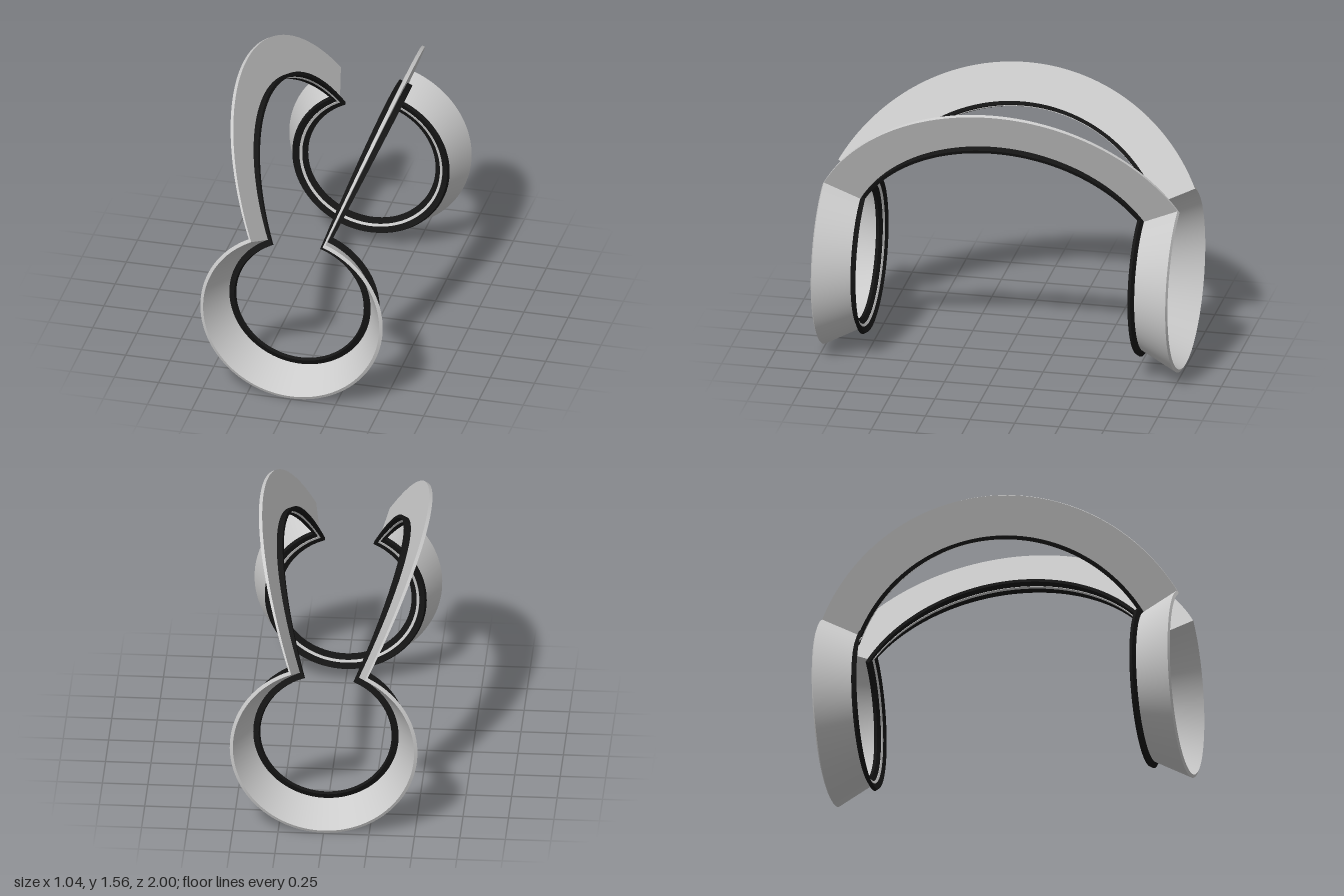
import * as THREE from 'three';

// A continuous headband-like loop lying on a sphere: two open end rings
// joined by two arched arms. Each run is drawn in longitude / polar angle.
const CENTRE_Y = 0.515;
const POLAR = 0.471;                               // end rings, angle from the z axis
const LON_LEFT = THREE.MathUtils.degToRad(21.4);   // arm on +x, angle from straight up
const LON_RIGHT = THREE.MathUtils.degToRad(332.5); // arm on -x

function onSphere(lon, polar, r) {
  return [
    r * Math.sin(polar) * Math.sin(lon),
    CENTRE_Y + r * Math.sin(polar) * Math.cos(lon),
    r * Math.cos(polar),
  ];
}

// Corners of the loop, pushed outwards by the angle k (gives mitred joints)
function loopCorners(k) {
  return [
    [LON_LEFT - k, POLAR - k],
    [LON_RIGHT + k, POLAR - k],
    [LON_RIGHT + k, Math.PI - POLAR + k],
    [LON_LEFT - k, Math.PI - POLAR + k],
  ];
}

// One run of the loop with a four-sided section; every face has its own
// vertices so the curves are smooth and the edges sharp.
function runGeometry(side, rInner, rOuter, k, segments) {
  const section = [[rInner, -k], [rOuter, -k], [rOuter, k], [rInner, k]];
  const positions = [];
  const index = [];
  const pointAt = ([r, offset], t) => {
    const corners = loopCorners(offset);
    const a = corners[side];
    const b = corners[(side + 1) % 4];
    return onSphere(a[0] + (b[0] - a[0]) * t, a[1] + (b[1] - a[1]) * t, r);
  };
  for (let f = 0; f < 4; f++) {
    const base = positions.length / 3;
    for (let i = 0; i <= segments; i++) {
      const t = i / segments;
      positions.push(...pointAt(section[f], t), ...pointAt(section[(f + 1) % 4], t));
      if (i < segments) {
        const a = base + i * 2;
        index.push(a, a + 1, a + 3, a, a + 3, a + 2);
      }
    }
  }
  const geometry = new THREE.BufferGeometry();
  geometry.setAttribute('position', new THREE.Float32BufferAttribute(positions, 3));
  geometry.setIndex(index);
  geometry.computeVertexNormals();
  return geometry;
}

export function createModel() {
  const model = new THREE.Group();
  model.name = 'archedLoop';
  const grey = new THREE.MeshStandardMaterial({ color: 0xcccccc });
  const black = new THREE.MeshStandardMaterial({ color: 0x151515 });

  const runs = ['frontRing', 'rightArm', 'backRing', 'leftArm'];
  runs.forEach((name, side) => {
    const segments = side % 2 ? 72 : 112;
    const run = new THREE.Group();
    run.name = name;

    // Thin upright blade
    const blade = new THREE.Mesh(runGeometry(side, 0.874, 1.1176, 0.009, segments), grey);
    blade.name = name + 'Blade';

    // Dark flange along the inner edge
    const flange = new THREE.Mesh(runGeometry(side, 0.878, 0.898, 0.048, segments), black);
    flange.name = name + 'Flange';

    run.add(blade, flange);
    model.add(run);
  });
  return model;
}
